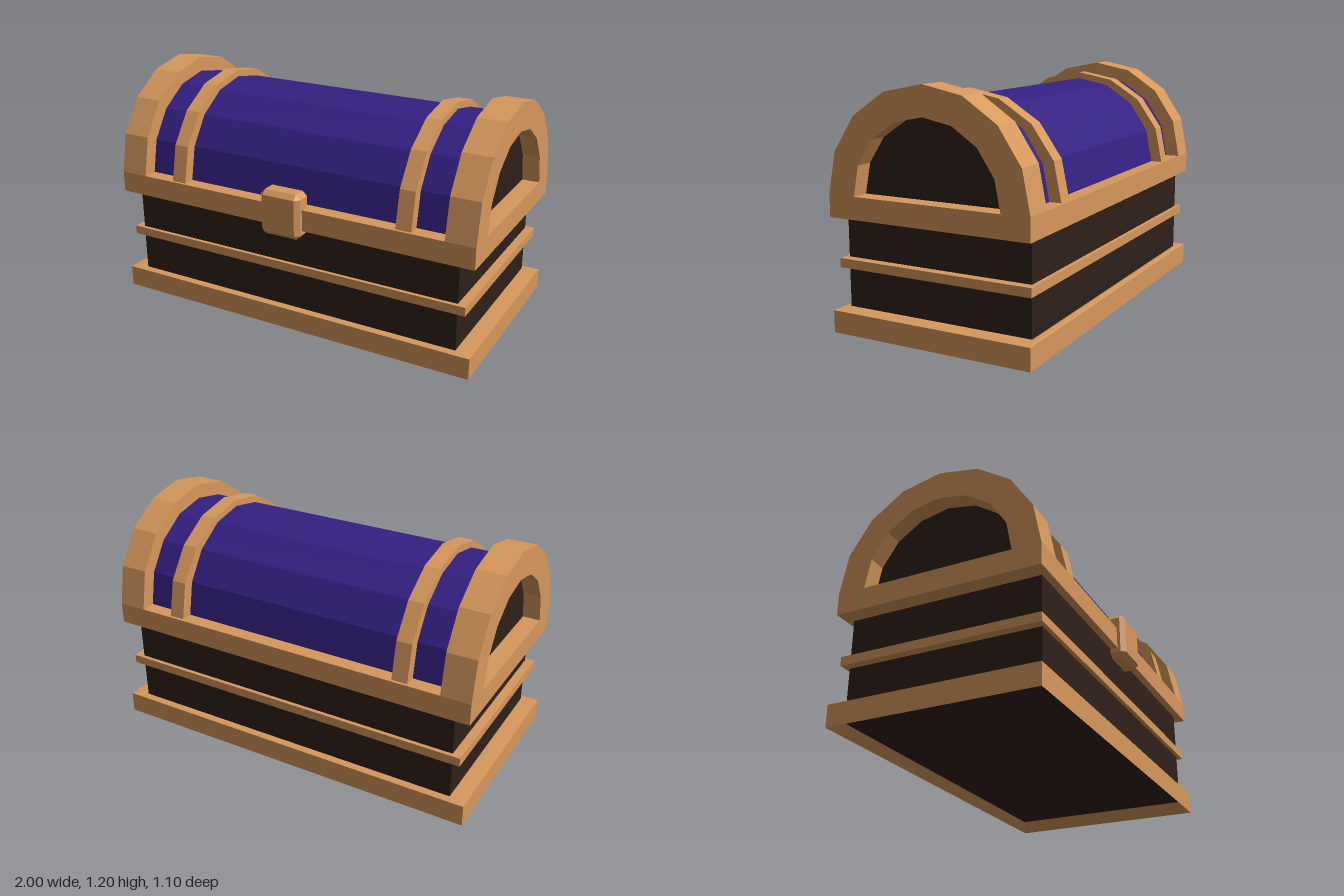
import * as THREE from 'three';
import { ConvexGeometry } from 'three/addons/geometries/ConvexGeometry.js';

const mat = (color) => new THREE.MeshStandardMaterial({ color, flatShading: true });

// Half-circle profile with eight facets, scaled to half width rz and height ry
function arcPoints(rz, ry) {
  const pts = [];
  for (let i = 0; i <= 8; i++) {
    const a = (i / 8) * Math.PI;
    pts.push(new THREE.Vector2(rz * Math.cos(a), ry * Math.sin(a)));
  }
  return pts;
}

// Arch running along x from x0 to x1; solid, or hollow when inner > 0
function archGeometry(x0, x1, rz, ry, inner = 0) {
  const pts = arcPoints(rz, ry);
  if (inner > 0) pts.push(...arcPoints(inner, inner).reverse());
  const g = new THREE.ExtrudeGeometry(new THREE.Shape(pts), { depth: x1 - x0, bevelEnabled: false });
  return g.rotateY(Math.PI / 2).translate(x0, 0, 0);
}

// Rectangular moulding through loops of [half x, half z, y]
function mouldingGeometry(loops) {
  const corners = [[1, 1], [1, -1], [-1, -1], [-1, 1]];
  const pos = [];
  const index = [];
  for (const [x, z, y] of loops) for (const [sx, sz] of corners) pos.push(sx * x, y, sz * z);
  for (let i = 0; i < loops.length - 1; i++) {
    for (let k = 0; k < 4; k++) {
      const a = i * 4 + k, b = i * 4 + (k + 1) % 4;
      index.push(a, b, b + 4, a, b + 4, a + 4);
    }
  }
  const g = new THREE.BufferGeometry();
  g.setAttribute('position', new THREE.Float32BufferAttribute(pos, 3));
  g.setIndex(index);
  const flat = g.toNonIndexed();
  flat.computeVertexNormals();
  return flat;
}

// Box with every edge cut at 45 degrees
function chamferedBox(x, y, z, c) {
  const pts = [];
  for (const sx of [-1, 1]) for (const sy of [-1, 1]) for (const sz of [-1, 1]) {
    pts.push(
      new THREE.Vector3(sx * x, sy * (y - c), sz * (z - c)),
      new THREE.Vector3(sx * (x - c), sy * y, sz * (z - c)),
      new THREE.Vector3(sx * (x - c), sy * (y - c), sz * z));
  }
  return new ConvexGeometry(pts);
}

export function createModel() {
  const model = new THREE.Group();
  model.name = 'chest';
  const trim = mat(0xd6985c);
  const wood = mat(0x30201a);
  const cloth = mat(0x342083);

  const add = (name, geometry, material, y = 0, z = -0.017) => {
    const mesh = new THREE.Mesh(geometry, material);
    mesh.name = name;
    mesh.position.set(0, y, z);
    model.add(mesh);
  };

  // Lower chest: dark body raised inside a base frame with a sloped underside
  add('body', new THREE.BoxGeometry(1.83, 0.555, 0.985), wood, 0.3225);
  add('baseFrame', mouldingGeometry([
    [0.915, 0.4925, 0.045], [1, 0.53, 0], [1, 0.53, 0.11], [0.95, 0.51, 0.113], [0.91, 0.49, 0.113],
  ]), trim);
  add('middleBand', new THREE.BoxGeometry(1.92, 0.045, 1.026), trim, 0.3375);
  add('lidRim', new THREE.BoxGeometry(2, 0.11, 1.06), trim, 0.62);

  // Barrel lid
  const lidY = 0.675;
  add('lid', archGeometry(-0.855, 0.855, 0.455, 0.453), cloth, lidY);

  // End hoops, recessed end panels and straps, mirrored left and right
  for (const [side, s] of [['left', 1], ['right', -1]]) {
    const span = (a, b) => (s > 0 ? [a, b] : [-b, -a]);
    add(side + 'EndHoop', archGeometry(...span(0.85, 1), 0.53, 0.53, 0.387), trim, lidY);
    add(side + 'EndPanel', archGeometry(...span(0.86, 0.91), 0.395, 0.395), wood, lidY);
    add(side + 'Strap', archGeometry(...span(0.6, 0.68), 0.515, 0.487, 0.43), trim, lidY);
  }

  // Front clasp
  add('clasp', chamferedBox(0.11, 0.1175, 0.056, 0.023), trim, 0.637, 0.496);

  return model;
}
